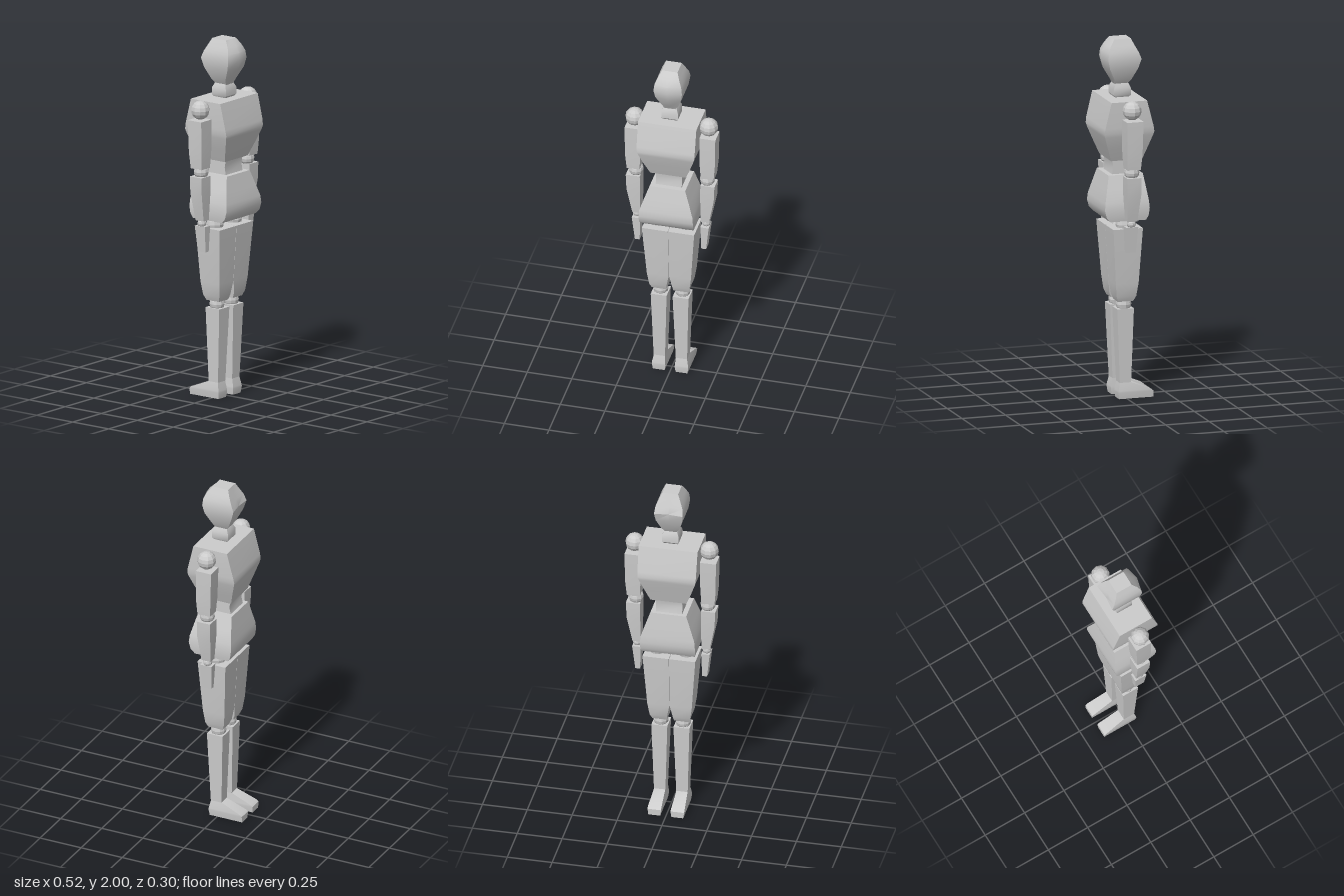
import * as THREE from 'three';
import { toCreasedNormals } from 'three/addons/utils/BufferGeometryUtils.js';

const material = new THREE.MeshStandardMaterial({ color: 0xcccccc });
const flatMaterial = new THREE.MeshStandardMaterial({ color: 0xcccccc, flatShading: true });
const MID_Z = 0.008;

// Skin of quads through rings of [x, y, z] points, listed bottom to top, with capped ends
function loft(name, rings) {
  const n = rings[0].length;
  const index = [];
  for (let i = 0; i < rings.length - 1; i++) {
    for (let j = 0; j < n; j++) {
      const a = i * n + j, b = i * n + (j + 1) % n;
      index.push(a, b, b + n, a, b + n, a + n);
    }
  }
  const top = (rings.length - 1) * n;
  for (let j = 1; j < n - 1; j++) index.push(0, j + 1, j, top, top + j, top + j + 1);
  const geometry = new THREE.BufferGeometry();
  geometry.setAttribute('position', new THREE.Float32BufferAttribute(rings.flat(2), 3));
  geometry.setIndex(index);
  const mesh = new THREE.Mesh(toCreasedNormals(geometry, 0.6), material);
  mesh.name = name;
  return mesh;
}

// Block from rectangles [y, x0, x1, z0, z1]; side = -1 mirrors it
function block(name, rects, side = 1) {
  return loft(name, rects.map(([y, x0, x1, z0, z1]) => {
    const a = Math.min(x0 * side, x1 * side), b = Math.max(x0 * side, x1 * side);
    return [[a, y, z1], [b, y, z1], [b, y, z0], [a, y, z0]];
  }));
}

// Block symmetric in x from [y, halfWidth, z0, z1]
const centred = (name, rows) => block(name, rows.map(([y, w, z0, z1]) => [y, -w, w, z0, z1]));

function ball(name, x, y, r) {
  const mesh = new THREE.Mesh(new THREE.SphereGeometry(r, 10, 8), flatMaterial);
  mesh.position.set(x, y, MID_Z);
  mesh.name = name;
  return mesh;
}

// Head ring: ridge on +z, slight hollow on -z
function headRing(y, w, z0, z1, ridge, hollow) {
  return [[0, y, z1 + ridge], [w, y, z1], [w, y, z0], [0, y, z0 + hollow], [-w, y, z0], [-w, y, z1]];
}

function createModel() {
  const model = new THREE.Group();
  model.name = 'jointedMannequin';

  model.add(
    loft('head', [
      headRing(1.745, 0.03, -0.025, 0.045, 0, 0),
      headRing(1.775, 0.048, -0.045, 0.055, 0.012, 0.002),
      headRing(1.84, 0.073, -0.075, 0.088, 0.018, 0.005),
      headRing(1.89, 0.08, -0.09, 0.1, 0.018, 0.008),
      headRing(1.93, 0.075, -0.074, 0.096, 0.018, 0.006),
      headRing(1.965, 0.06, -0.056, 0.08, 0.012, 0.003),
      headRing(2, 0.044, -0.04, 0.055, 0, 0),
    ]),
    centred('neck', [
      [1.67, 0.036, -0.028, 0.044], [1.685, 0.046, -0.04, 0.056],
      [1.725, 0.046, -0.04, 0.056], [1.75, 0.036, -0.028, 0.044],
    ]),
    centred('chest', [
      [1.335, 0.1, -0.086, 0.092], [1.41, 0.13, -0.109, 0.12],
      [1.48, 0.155, -0.131, 0.145], [1.5, 0.16, -0.136, 0.15],
      [1.53, 0.163, -0.131, 0.146], [1.675, 0.164, -0.093, 0.111],
    ]),
    centred('waist', [
      [1.25, 0.073, -0.072, 0.078], [1.295, 0.073, -0.062, 0.07], [1.34, 0.073, -0.072, 0.078],
    ]),
    centred('pelvis', [
      [1.005, 0.148, -0.092, 0.11], [1.03, 0.152, -0.106, 0.134],
      [1.07, 0.153, -0.112, 0.145], [1.11, 0.149, -0.109, 0.141],
      [1.18, 0.126, -0.1, 0.124], [1.255, 0.1, -0.09, 0.106],
    ]),
  );

  for (const side of [1, -1]) {
    const arm = new THREE.Group();
    arm.name = side > 0 ? 'leftArm' : 'rightArm';
    arm.add(
      ball('shoulderJoint', side * 0.208, 1.635, 0.052),
      block('upperArm', [
        [1.31, 0.172, 0.244, -0.03, 0.046], [1.4, 0.167, 0.252, -0.037, 0.051],
        [1.58, 0.165, 0.255, -0.042, 0.051],
      ], side),
      ball('elbowJoint', side * 0.2, 1.29, 0.042),
      block('forearm', [
        [1.015, 0.17, 0.215, -0.02, 0.036], [1.17, 0.169, 0.245, -0.032, 0.047],
        [1.265, 0.17, 0.249, -0.033, 0.048],
      ], side),
      ball('wristJoint', side * 0.194, 1.0, 0.025),
      block('hand', [
        [0.84, 0.173, 0.2, -0.016, 0.038], [0.985, 0.169, 0.216, -0.025, 0.045],
      ], side),
    );

    const leg = new THREE.Group();
    leg.name = side > 0 ? 'leftLeg' : 'rightLeg';
    leg.add(
      ball('hipJoint', side * 0.08, 0.975, 0.05),
      block('thigh', [
        [0.545, 0.02, 0.101, -0.034, 0.052], [0.575, 0.016, 0.113, -0.048, 0.064],
        [0.65, 0.001, 0.124, -0.058, 0.073], [0.96, 0.001, 0.147, -0.075, 0.094],
      ], side),
      ball('kneeJoint', side * 0.062, 0.525, 0.043),
      block('shin', [
        [0.09, 0.03, 0.094, -0.025, 0.04], [0.505, 0.017, 0.106, -0.037, 0.058],
      ], side),
      block('foot', [
        [0, 0.031, 0.097, -0.152, 0.045], [0.035, 0.026, 0.102, -0.152, 0.05],
        [0.045, 0.027, 0.102, -0.14, 0.049], [0.092, 0.031, 0.093, -0.022, 0.039],
      ], side),
    );
    model.add(arm, leg);
  }
  return model;
}

export { createModel };
